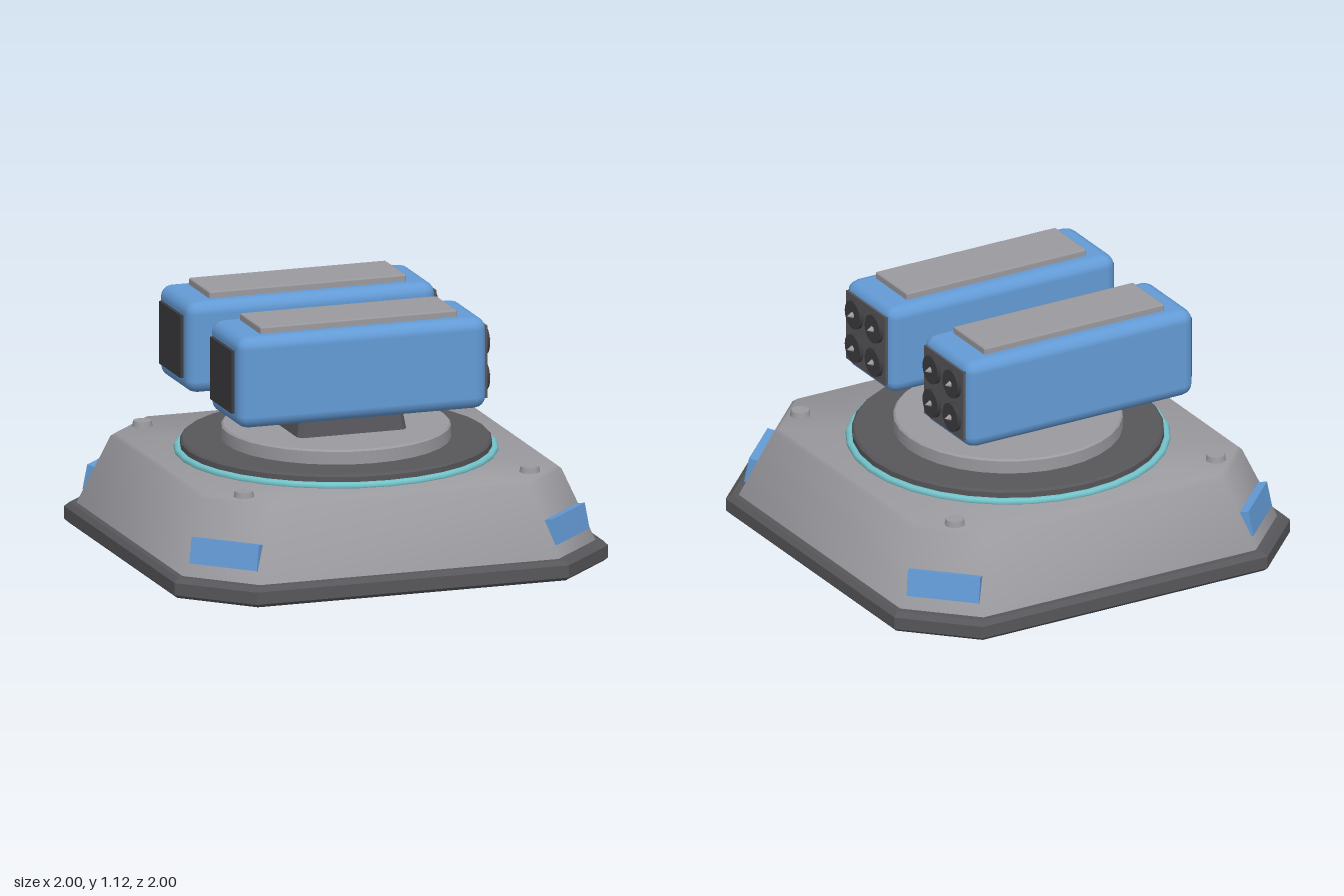
import * as THREE from 'three';
import { toCreasedNormals } from 'three/addons/utils/BufferGeometryUtils.js';
import { RoundedBoxGeometry } from 'three/addons/geometries/RoundedBoxGeometry.js';

const material = (name, color) => {
  const m = new THREE.MeshStandardMaterial({ color });
  m.name = name;
  return m;
};

const mats = {
  hull: material('light grey', 0x9a9a9f),
  dark: material('dark grey', 0x57565a),
  black: material('charcoal', 0x3c3c40),
  blue: material('blue', 0x639bd6),
  cyan: material('cyan', 0x74c4cb),
};

function add(parent, name, geometry, mat, x = 0, y = 0, z = 0) {
  const mesh = new THREE.Mesh(geometry, mat);
  mesh.name = name;
  mesh.position.set(x, y, z);
  parent.add(mesh);
  return mesh;
}

// Closed loft through cut-corner rectangles, each ring [halfX, halfZ, cut, y]
function loft(rings, crease) {
  const pos = [], index = [];
  for (const [hx, hz, c, y] of rings) {
    const corners = [
      [hx, hz - c], [hx - c, hz], [c - hx, hz], [-hx, hz - c],
      [-hx, c - hz], [c - hx, -hz], [hx - c, -hz], [hx, c - hz],
    ];
    for (const [x, z] of corners) pos.push(x, y, z);
  }
  const last = (rings.length - 1) * 8;
  const bottom = pos.length / 3, top = bottom + 1;
  pos.push(0, rings[0][3], 0, 0, rings[rings.length - 1][3], 0);
  for (let j = 0; j < 8; j++) {
    const k = (j + 1) % 8;
    for (let r = 0; r < last; r += 8) {
      index.push(r + j, r + 8 + j, r + k, r + k, r + 8 + j, r + 8 + k);
    }
    index.push(bottom, j, k, top, last + k, last + j);
  }
  const g = new THREE.BufferGeometry();
  g.setAttribute('position', new THREE.Float32BufferAttribute(pos, 3));
  g.setIndex(index);
  return toCreasedNormals(g, crease);
}

// Disc with a small bevelled upper rim
function disc(radius, y0, y1, bevel) {
  const profile = [[0, y0], [radius, y0], [radius, y1 - bevel], [radius - bevel, y1], [0, y1]]
    .map(([x, y]) => new THREE.Vector2(x, y));
  return toCreasedNormals(new THREE.LatheGeometry(profile, 32), 0.5);
}

// Launcher pod, muzzles toward +x
function createPod(name, z) {
  const pod = new THREE.Group();
  pod.name = name;
  pod.position.set(0, 0.88, z);
  add(pod, 'podBody', new RoundedBoxGeometry(1.15, 0.41, 0.405, 2, 0.055), mats.blue, -0.06);
  add(pod, 'roofPanel', new RoundedBoxGeometry(0.91, 0.05, 0.27, 1, 0.008), mats.hull, -0.06, 0.21);
  add(pod, 'muzzlePlate', new THREE.BoxGeometry(0.03, 0.325, 0.335), mats.dark, 0.507);
  add(pod, 'rearPlate', new THREE.BoxGeometry(0.03, 0.28, 0.28), mats.black, -0.635);

  // Four tubes with pointed tips
  for (const y of [-0.08, 0.08]) {
    for (const dz of [-0.085, 0.085]) {
      const tube = add(pod, 'launchTube', new THREE.CylinderGeometry(0.065, 0.065, 0.03, 20), mats.black, 0.525, y, dz);
      tube.rotation.z = -Math.PI / 2;
      const tip = add(pod, 'missileTip', new THREE.ConeGeometry(0.016, 0.03, 12), mats.hull, 0.552, y, dz);
      tip.rotation.z = -Math.PI / 2;
    }
  }
  return pod;
}

export function createModel() {
  const model = new THREE.Group();
  model.name = 'launcherTurret';

  // Base plate and sloping hull
  add(model, 'basePlate', loft([
    [0.985, 0.985, 0.275, 0], [1, 1, 0.28, 0.015],
    [1, 1, 0.28, 0.07], [0.98, 0.98, 0.275, 0.09],
  ], 0.5), mats.dark);
  add(model, 'hull', loft([
    [0.955, 0.955, 0.265, 0.085], [0.828, 0.828, 0.23, 0.4], [0.81, 0.81, 0.225, 0.415],
  ], 0.9), mats.hull);

  // Corner brackets and bolts
  for (let i = 0; i < 4; i++) {
    const corner = new THREE.Group();
    corner.name = 'corner';
    corner.rotation.y = Math.PI / 4 + i * Math.PI / 2;
    model.add(corner);
    const bracket = add(corner, 'cornerBracket', new THREE.BoxGeometry(0.325, 0.115, 0.07), mats.blue, 0, 0.195, 1.098);
    bracket.rotation.x = -0.2;
    add(corner, 'bolt', new THREE.CylinderGeometry(0.04, 0.046, 0.03, 12), mats.hull, 0, 0.425, 0.933);
  }

  // Rotating platform
  const ring = add(model, 'glowRing', new THREE.TorusGeometry(0.69, 0.018, 8, 32), mats.cyan, 0, 0.422);
  ring.rotation.x = Math.PI / 2;
  add(model, 'turretRing', disc(0.68, 0.4, 0.47, 0.01), mats.dark);
  add(model, 'turntable', disc(0.5, 0.46, 0.535, 0.008), mats.hull);

  // Pedestal, sensor and cross shaft
  add(model, 'pedestal', loft([
    [0.252, 0.225, 0.02, 0.53], [0.212, 0.185, 0.02, 0.79], [0.19, 0.165, 0.02, 0.81],
  ], 0.5), mats.dark);
  add(model, 'sensor', new THREE.BoxGeometry(0.07, 0.115, 0.2), mats.cyan, 0.235, 0.663);
  const shaft = add(model, 'crossShaft', new THREE.CylinderGeometry(0.068, 0.068, 0.5, 20), mats.dark, 0, 0.853);
  shaft.rotation.x = Math.PI / 2;

  // Twin pods
  model.add(createPod('rightPod', -0.332), createPod('leftPod', 0.332));
  return model;
}
